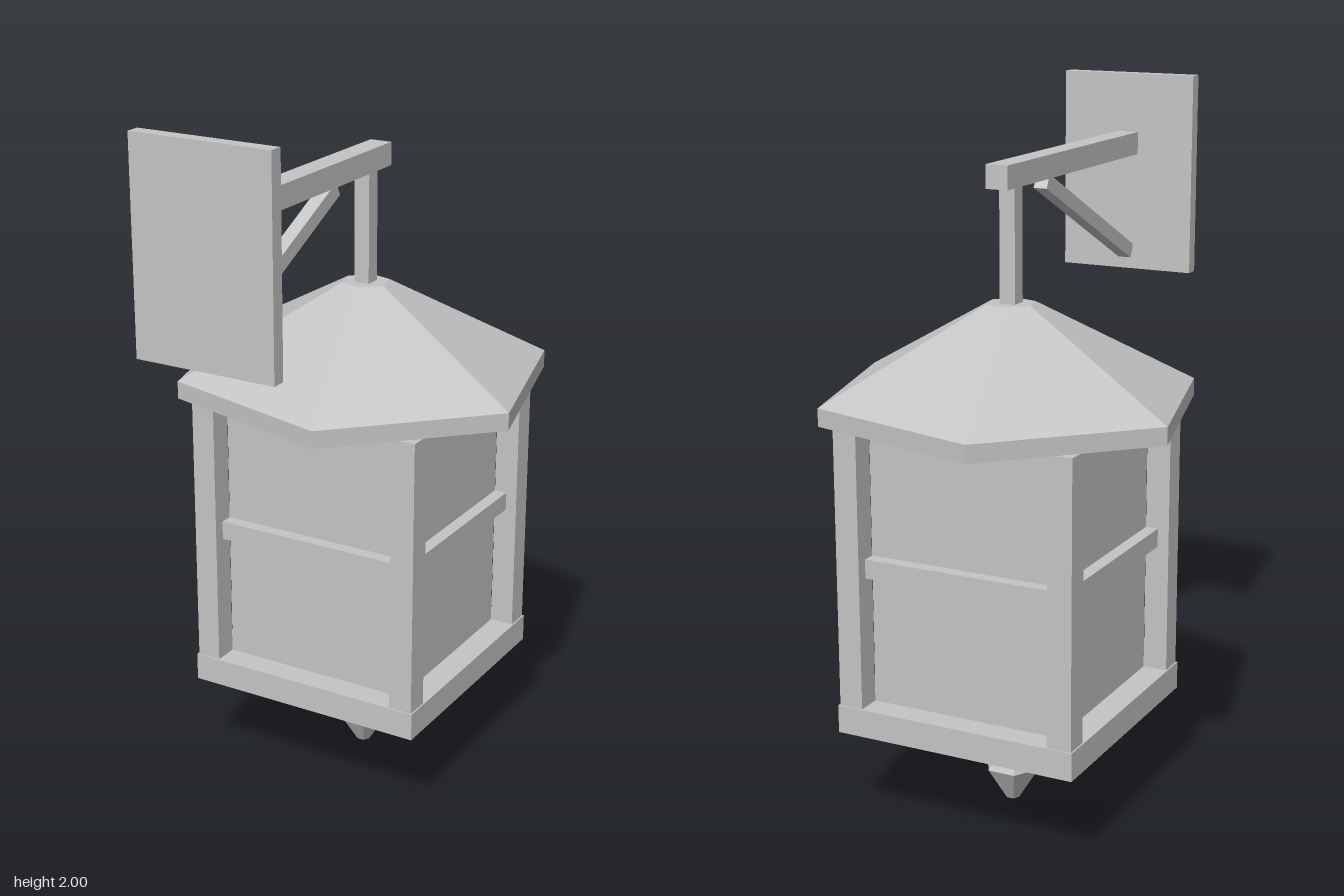
import * as THREE from 'three';

export function createModel() {
  const model = new THREE.Group();
  model.name = 'wallLantern';
  const metal = new THREE.MeshStandardMaterial({ color: 0xc4c4c4 });
  metal.name = 'light grey';
  metal.flatShading = true;

  const add = (parent, name, geometry, x = 0, y = 0, z = 0) => {
    const mesh = new THREE.Mesh(geometry, metal);
    mesh.name = name;
    mesh.position.set(x, y, z);
    parent.add(mesh);
    return mesh;
  };
  const box = (parent, name, w, h, d, x, y, z) =>
    add(parent, name, new THREE.BoxGeometry(w, h, d), x, y, z);
  // Six-sided turned form from [radius, height] pairs, bottom to top
  const hexLathe = (parent, name, profile, start) =>
    add(parent, name, new THREE.LatheGeometry(
      profile.map(([r, y]) => new THREE.Vector2(r, y)), 6, start));

  // Wall bracket
  const bracket = new THREE.Group();
  bracket.name = 'bracket';
  model.add(bracket);
  box(bracket, 'wallPlate', 0.41, 0.58, 0.04, 0, 1.71, 0.64);
  box(bracket, 'arm', 0.065, 0.065, 0.84, 0, 1.797, 0.2);
  const brace = box(bracket, 'brace', 0.04, 0.042, 0.635, 0, 1.614, 0.33);
  brace.rotation.x = Math.atan2(0.28, 0.57);

  // Hanging lantern
  const lantern = new THREE.Group();
  lantern.name = 'lantern';
  lantern.position.z = -0.138;
  model.add(lantern);
  box(lantern, 'hanger', 0.046, 0.34, 0.046, 0, 1.605, 0);

  // Roof, turned 15 degrees against the square body
  hexLathe(lantern, 'roof',
    [[0, 1.15], [0.538, 1.15], [0.538, 1.2], [0.069, 1.45], [0, 1.45]], Math.PI / 12);

  // Body with recessed panes
  box(lantern, 'base', 0.715, 0.08, 0.715, 0, 0.31, 0);
  box(lantern, 'panes', 0.565, 0.81, 0.565, 0, 0.745, 0);
  for (const x of [-1, 1]) {
    for (const z of [-1, 1]) {
      box(lantern, 'cornerPost', 0.07, 0.8, 0.07, x * 0.318, 0.75, z * 0.318);
    }
  }

  // Crossbar on each of the four sides
  for (let i = 0; i < 4; i++) {
    const side = new THREE.Group();
    side.name = 'crossbarSide';
    side.rotation.y = i * Math.PI / 2;
    lantern.add(side);
    box(side, 'crossbar', 0.57, 0.054, 0.045, 0, 0.748, 0.297);
  }

  // Finial below the base
  hexLathe(lantern, 'finial',
    [[0, 0], [0.02, 0], [0.082, 0.1], [0.046, 0.18], [0.14, 0.27], [0, 0.27]], Math.PI / 6);

  return model;
}
